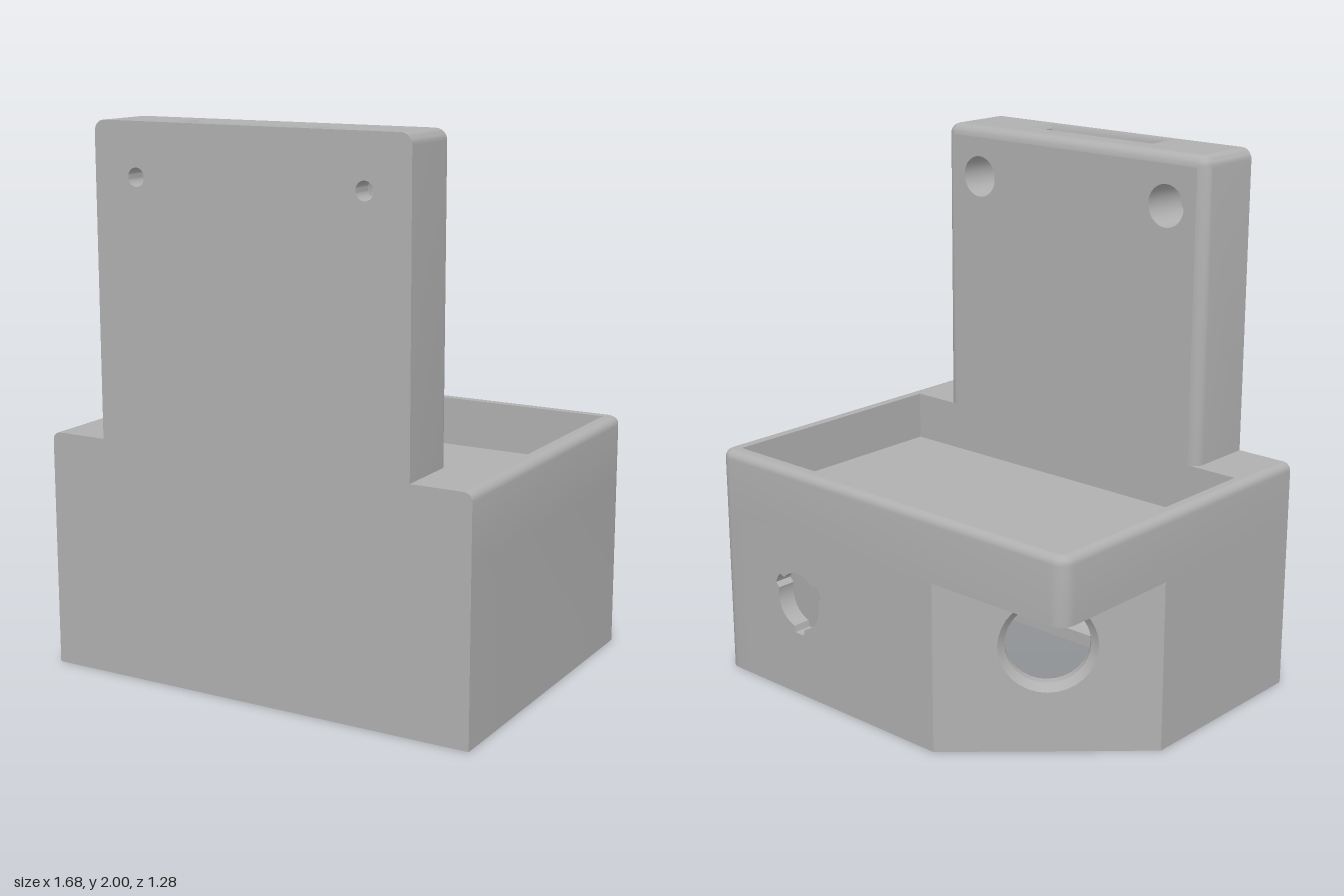
import * as THREE from 'three';
import { toCreasedNormals } from 'three/addons/utils/BufferGeometryUtils.js';

const V = (x, y) => new THREE.Vector2(x, y);
const W = 0.84, D = 0.64, TOP = 0.875, SLAB = 0.635, FLOOR = 0.69;
const PW = 0.615, PBACK = 0.37, H = 2;

// Skin between successive rings of [x, y, z] points
function loft(rings, closed, skip = () => false) {
  const pos = [], n = rings[0].length;
  for (let i = 0; i < rings.length - 1; i++) {
    for (let j = 0; j < (closed ? n : n - 1); j++) {
      if (skip(i, j)) continue;
      const k = (j + 1) % n;
      const a = rings[i][j], b = rings[i][k], c = rings[i + 1][k], d = rings[i + 1][j];
      pos.push(...a, ...b, ...c, ...a, ...c, ...d);
    }
  }
  const g = new THREE.BufferGeometry();
  g.setAttribute('position', new THREE.Float32BufferAttribute(pos, 3));
  g.computeVertexNormals();
  return toCreasedNormals(g, 0.6);
}

// Points of an arc around (cx, cy)
function arc(cx, cy, r, a0, a1, n = 6) {
  return Array.from({ length: n + 1 }, (_, i) => {
    const a = a0 + (a1 - a0) * i / n;
    return [cx + r * Math.cos(a), cy + r * Math.sin(a)];
  });
}

function shapeOf(pts, holes = []) {
  const s = new THREE.Shape(pts.map(p => V(...p)));
  s.holes = holes.map(h => new THREE.Path(h.map(p => V(...p))));
  return s;
}

const rect = (x0, x1, z0, z1) => [[x0, z1], [x1, z1], [x1, z0], [x0, z0]];
const circle = (x, y, r) => arc(x, y, r, 0, Math.PI * 2, 32).slice(0, -1);

// Horizontal face from [x, z] outlines
function flat(pts, holes, y, down = false) {
  const f = p => [p[0], down ? p[1] : -p[1]];
  const g = new THREE.ShapeGeometry(shapeOf(pts.map(f), holes.map(h => h.map(f))));
  return g.rotateX(down ? Math.PI / 2 : -Math.PI / 2).translate(0, y, 0);
}

const extrude = (shape, depth) =>
  new THREE.ExtrudeGeometry(shape, { depth, bevelEnabled: false, curveSegments: 12 });

// Base outline, inset at the sides and back while the front stays flat
function footprint(d) {
  const r = 0.055 - d, x = W - d - r, z = -D + d + r;
  return [[-W + d, D], [W - d, D],
    ...arc(x, z, r, 0, -Math.PI / 2), ...arc(-x, z, r, -Math.PI / 2, -Math.PI)];
}

// Upright outline, inset at the sides and top
function plateOutline(d) {
  const r = Math.max(0.04 - d, 0.001), x = PW - d - r, y = H - d - r;
  return [[-PW + d, TOP], ...arc(-x, y, r, Math.PI, Math.PI / 2),
    ...arc(x, y, r, Math.PI / 2, 0), [PW - d, TOP]];
}

export function createModel() {
  const model = new THREE.Group();
  const grey = new THREE.MeshStandardMaterial({ color: 0xb0b0b0, side: THREE.DoubleSide });
  grey.name = 'grey plastic';
  const add = (name, geo, parent = model) => {
    const m = new THREE.Mesh(geo, grey);
    m.name = name;
    parent.add(m);
    return m;
  };
  const level = (pts, y) => pts.map(p => [p[0], y, p[1]]);
  const slot = rect(-0.28, 0.28, 0.495, 0.6);
  const slotMouth = rect(-0.292, 0.292, 0.485, 0.608);
  const tray = rect(-0.782, 0.782, -0.58, PBACK);
  const fillet = [0, 1, 2, 3, 4, 5].map(i => i / 5 * Math.PI / 2);

  // Upper base: rounded rim around a shallow tray
  const r = 0.03;
  add('baseRim', loft([level(footprint(0), SLAB),
    ...fillet.map(a => level(footprint(r * (1 - Math.cos(a))), TOP - r + r * Math.sin(a)))], true));
  add('baseTop', flat(footprint(r), [tray, slot], TOP));
  add('trayWalls', loft([level(tray, TOP), level(tray, FLOOR)], true));
  add('trayFloor', flat(tray, [], FLOOR));
  add('baseCeiling', flat(footprint(0), [slot], SLAB, true));

  // Lower base: side and front walls, open below, with a chute recess in front
  const walls = [[-W, -0.1], [-W, D], [W, D], ...arc(W - 0.055, -D + 0.055, 0.055, 0, -Math.PI / 2),
    [0.7, -D], [0.7, -0.57], [0.77, -0.57], [0.77, 0.4], [0.28, 0.4], [0.28, 0.6],
    [-0.28, 0.6], [-0.28, 0.4], [-0.77, 0.4], [-0.77, -0.1]];
  add('lowerWalls', toCreasedNormals(
    extrude(shapeOf(walls.map(p => [p[0], -p[1]])), SLAB).rotateX(-Math.PI / 2), 0.6));

  // Back wall with a keyed round hole
  const keyed = Array.from({ length: 72 }, (_, i) => {
    const deg = i * 5, off = Math.abs(((deg - 30) % 120 + 180) % 120 - 60);
    const rad = off <= 10 ? 0.13 : 0.108, a = deg * Math.PI / 180;
    return [0.425 + rad * Math.cos(a), 0.375 + rad * Math.sin(a)];
  });
  add('backWall', extrude(shapeOf([[-0.255, 0], [0.7, 0], [0.7, SLAB], [-0.255, SLAB]], [keyed]), 0.07)
    .translate(0, 0, -D));

  // Angled corner wall with a large countersunk hole
  const corner = new THREE.Group();
  corner.name = 'angledCorner';
  const dx = -W + 0.255, dz = -0.1 + D, len = Math.hypot(dx, dz);
  corner.position.set(-0.255, 0, -D);
  corner.rotation.y = Math.atan2(-dz, dx);
  model.add(corner);
  add('angledWall', extrude(shapeOf([[0, 0], [len, 0], [len, SLAB], [0, SLAB]],
    [circle(len / 2, 0.4, 0.175)]), 0.06).translate(0, 0, -0.06), corner);
  add('holeRim', toCreasedNormals(new THREE.LatheGeometry(
    [V(0.175, -0.06), V(0.15, -0.06), V(0.15, -0.028), V(0.175, 0)], 32), 0.5)
    .rotateX(Math.PI / 2).translate(len / 2, 0.4, 0), corner);

  // Upright plate with rounded back edges
  const pr = 0.04;
  const upright = (d, z) => plateOutline(d).map(p => [p[0], p[1], z]);
  add('uprightSides', loft([upright(0, D),
    ...fillet.map(a => upright(pr * (1 - Math.cos(a)), PBACK + pr - pr * Math.sin(a)))],
  false, (i, j) => i === 0 && j === 7));
  add('uprightTop', flat(rect(-PW + pr, PW - pr, PBACK + pr, D), [slotMouth], H));
  const bores = rad => [-0.445, 0.445].map(x => circle(x, 1.81, rad));
  add('uprightFront', new THREE.ShapeGeometry(shapeOf(plateOutline(0), bores(0.033))).translate(0, 0, D));
  add('uprightBack', new THREE.ShapeGeometry(shapeOf(plateOutline(pr), bores(0.078)))
    .rotateY(Math.PI).translate(0, 0, PBACK));

  // Stepped screw bores
  for (const x of [-0.445, 0.445]) {
    add('screwBore', toCreasedNormals(new THREE.LatheGeometry(
      [V(0.078, PBACK), V(0.078, 0.56), V(0.033, 0.56), V(0.033, D)], 32), 0.5)
      .rotateX(Math.PI / 2).translate(x, 1.81, 0));
  }

  // Slot running down the upright into the base
  add('slotWalls', loft([level(slotMouth, H), level(slot, H - 0.015), level(slot, SLAB)], true));

  // Curved lip and ramp where the slot opens into the base
  const across = s => toCreasedNormals(extrude(s, 0.56).rotateY(-Math.PI / 2).translate(0.28, 0, 0), 0.6);
  const lip = new THREE.Shape([V(0.4, SLAB), V(0.495, SLAB), V(0.495, 0.47)]);
  lip.quadraticCurveTo(0.41, 0.47, 0.4, 0.56);
  add('chuteLip', across(lip));
  const ramp = new THREE.Shape([V(0.6, 0), V(0.4, 0), V(0.4, 0.05)]);
  ramp.quadraticCurveTo(0.58, 0.07, 0.6, 0.27);
  add('chuteRamp', across(ramp));

  // Hollow screw posts inside the base
  const post = toCreasedNormals(new THREE.LatheGeometry(
    [V(0.02, 0.15), V(0.02, 0.02), V(0.05, 0.02), V(0.05, 0.17), V(0, 0.17)], 20), 0.5);
  for (const [x, z] of [[0.725, 0.33], [0.725, -0.525], [0, -0.525], [-0.725, 0.33], [-0.725, 0.2]]) {
    add('screwPost', post).position.set(x, 0, z);
  }
  return model;
}
